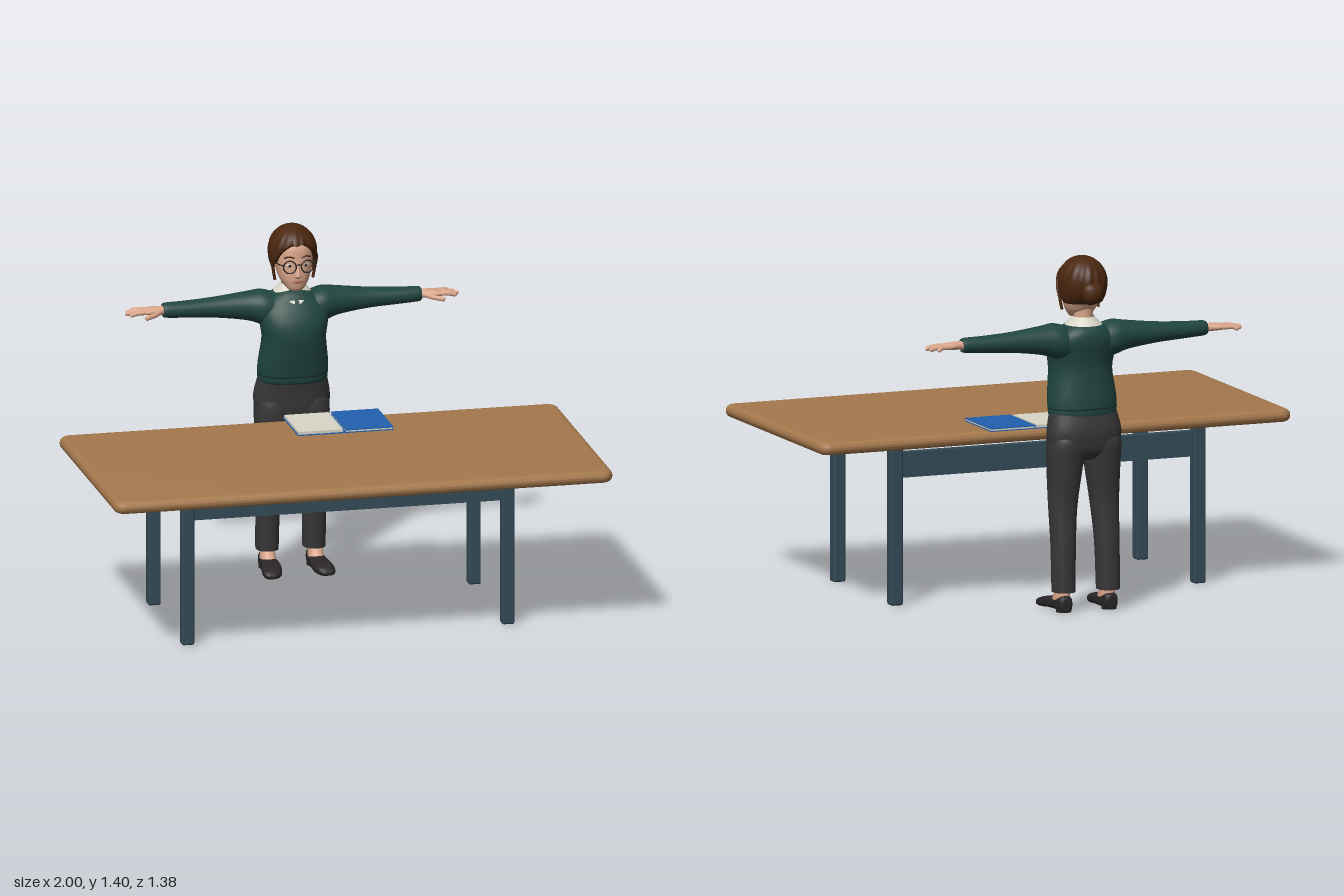
import * as THREE from 'three';
import { toCreasedNormals } from 'three/addons/utils/BufferGeometryUtils.js';
import { RoundedBoxGeometry } from 'three/addons/geometries/RoundedBoxGeometry.js';

const mat = (name, color, side = THREE.FrontSide) =>
  Object.assign(new THREE.MeshStandardMaterial({ color, side }), { name });

// Cross-sections [t, aMin, aMax, bMin, bMax] along an axis, smoothed, with rounded-box outline.
// Axes: y -> a = x, b = z;  x -> a = z, b = y;  z -> a = y, b = x.
function loft(axis, rows, power = 2.3, sides = 28, sub = 4) {
  const pos = [], idx = [], count = (rows.length - 1) * sub + 1;
  const put = (t, a, b) => pos.push(...(axis === 'y' ? [a, t, b] : axis === 'x' ? [t, b, a] : [b, a, t]));
  const bend = c => Math.sign(c) * Math.abs(c) ** (2 / power);
  const at = (s, k) => {
    const i = Math.min(Math.floor(s), rows.length - 2), f = s - i;
    const v = j => rows[Math.max(0, Math.min(rows.length - 1, j))][k];
    const p0 = v(i - 1), p1 = v(i), p2 = v(i + 1), p3 = v(i + 2);
    return p1 + 0.5 * f * (p2 - p0 + f * (2 * p0 - 5 * p1 + 4 * p2 - p3 + f * (3 * (p1 - p2) + p3 - p0)));
  };
  for (let i = 0; i < count; i++) {
    const [t, a0, a1, b0, b1] = [0, 1, 2, 3, 4].map(k => at(i / sub, k));
    for (let j = 0; j < sides; j++) {
      const th = j / sides * Math.PI * 2;
      put(t, (a0 + a1) / 2 + (a1 - a0) / 2 * bend(Math.cos(th)), (b0 + b1) / 2 + (b1 - b0) / 2 * bend(Math.sin(th)));
      const n = i * sides + (j + 1) % sides, c = i * sides + j;
      if (i < count - 1) idx.push(c, c + sides, n, n, c + sides, n + sides);
    }
  }
  const first = rows[0], last = rows[rows.length - 1], base = count * sides, top = base - sides;
  for (const r of [first, last]) put(r[0], (r[1] + r[2]) / 2, (r[3] + r[4]) / 2);
  for (let j = 0; j < sides; j++) {
    const n = (j + 1) % sides;
    idx.push(base, j, n, base + 1, top + n, top + j);
  }
  return build(pos, idx);
}

function build(pos, idx) {
  const g = new THREE.BufferGeometry();
  g.setAttribute('position', new THREE.Float32BufferAttribute(pos, 3));
  g.setIndex(idx);
  g.computeVertexNormals();
  return g;
}

// Grid surface from a rule f(u, v) -> [x, y, z]
function sheet(f, nu, nv) {
  const pos = [], idx = [];
  for (let i = 0; i <= nu; i++) for (let j = 0; j <= nv; j++) {
    pos.push(...f(i / nu, j / nv));
    const c = i * (nv + 1) + j;
    if (i < nu && j < nv) idx.push(c, c + 1, c + nv + 1, c + 1, c + nv + 2, c + nv + 1);
  }
  return build(pos, idx);
}

function mirrored(g) {
  const m = g.clone().scale(-1, 1, 1), a = m.index.array;
  for (let i = 0; i < a.length; i += 3) [a[i], a[i + 1]] = [a[i + 1], a[i]];
  return m;
}

const tube = (pts, r, seg = 14) =>
  new THREE.TubeGeometry(new THREE.CatmullRomCurve3(pts.map(p => new THREE.Vector3(...p))), seg, r, 8);
const ball = (x, y, z, rx, ry = rx, rz = rx) =>
  new THREE.SphereGeometry(1, 24, 16).scale(rx, ry, rz).translate(x, y, z);

export function createModel() {
  const wood = mat('wood', 0xa4784c), steel = mat('steel', 0x344b57), sweater = mat('sweater green', 0x20453f);
  const cloth = mat('charcoal cloth', 0x383737), skin = mat('skin', 0xdba78b);
  const hair = mat('brown hair', 0x4a270f, THREE.DoubleSide), cream = mat('cream', 0xd9d5c8, THREE.DoubleSide);
  const blue = mat('blue cover', 0x2060ae), dark = mat('dark leather', 0x2a2627), lip = mat('lip', 0xb06a5e);

  const model = new THREE.Group();
  const group = name => { const g = new THREE.Group(); g.name = name; model.add(g); return g; };
  const add = (parent, name, geo, material) => {
    const m = new THREE.Mesh(geo, material);
    m.name = name;
    parent.add(m);
  };
  const pair = (parent, name, geo, material) => {
    add(parent, name + 'Left', geo, material);
    add(parent, name + 'Right', mirrored(geo), material);
  };
  const box = (parent, name, x0, x1, y0, y1, z0, z1, material) => add(parent, name,
    new THREE.BoxGeometry(x1 - x0, y1 - y0, z1 - z0).translate((x0 + x1) / 2, (y0 + y1) / 2, (z0 + z1) / 2), material);

  // Table: bullnosed top, four legs, two long rails
  const table = group('table');
  const w = 0.975, d = 0.475, r = 0.02, s = new THREE.Shape();
  s.absarc(w - r, d - r, r, 0, Math.PI / 2);
  s.absarc(-w + r, d - r, r, Math.PI / 2, Math.PI);
  s.absarc(-w + r, -d + r, r, Math.PI, Math.PI * 1.5);
  s.absarc(w - r, -d + r, r, Math.PI * 1.5, Math.PI * 2);
  const top = new THREE.ExtrudeGeometry(s, { depth: 0.004, bevelSize: 0.025, bevelThickness: 0.023, bevelSegments: 6, curveSegments: 6 });
  top.rotateX(-Math.PI / 2).translate(0, 0.653, 0.19);
  add(table, 'tableTop', toCreasedNormals(top, 0.6), wood);
  for (const z of [0.38, -0.195]) {
    for (const x of [-0.642, 0.642])
      add(table, 'tableLeg', new RoundedBoxGeometry(0.05, 0.635, 0.05, 2, 0.008).translate(x, 0.3175, z), steel);
    box(table, 'rail', -0.62, 0.62, 0.505, 0.605, z - 0.018, z + 0.018, steel);
  }

  // Open book
  const book = group('book');
  box(book, 'bottomCover', -0.092, 0.29, 0.682, 0.685, -0.325, -0.065, blue);
  box(book, 'leftPages', -0.088, 0.09, 0.685, 0.696, -0.32, -0.072, cream);
  box(book, 'rightPages', 0.103, 0.286, 0.685, 0.692, -0.32, -0.07, cream);
  box(book, 'rightCover', 0.1, 0.29, 0.692, 0.696, -0.325, -0.065, blue);

  // Sweater body, hem and sleeves
  const body = group('body');
  add(body, 'sweaterBody', loft('y', [
    [0.80, -0.139, 0.139, -0.648, -0.457], [0.85, -0.138, 0.138, -0.645, -0.447], [0.95, -0.126, 0.126, -0.635, -0.428],
    [1.01, -0.134, 0.134, -0.64, -0.43], [1.06, -0.138, 0.138, -0.65, -0.45], [1.095, -0.118, 0.118, -0.65, -0.472],
    [1.12, -0.09, 0.09, -0.638, -0.487], [1.135, -0.066, 0.066, -0.62, -0.5], [1.148, -0.05, 0.05, -0.605, -0.52]]), sweater);
  add(body, 'sweaterHem', loft('y', [[0.772, -0.132, 0.132, -0.642, -0.468], [0.782, -0.138, 0.138, -0.645, -0.463],
    [0.806, -0.138, 0.138, -0.645, -0.46], [0.814, -0.134, 0.134, -0.64, -0.465]]), sweater);
  pair(body, 'sleeve', loft('x', [
    [0.06, -0.63, -0.49, 0.99, 1.122], [0.12, -0.638, -0.487, 1.0, 1.14], [0.18, -0.628, -0.507, 1.02, 1.134],
    [0.3, -0.615, -0.525, 1.037, 1.12], [0.42, -0.607, -0.53, 1.045, 1.112], [0.5, -0.6, -0.535, 1.05, 1.11],
    [0.517, -0.596, -0.54, 1.054, 1.106]], 2.1), sweater);

  // Hands
  pair(body, 'palm', loft('x', [[0.505, -0.588, -0.548, 1.062, 1.098], [0.53, -0.592, -0.54, 1.065, 1.097],
    [0.565, -0.604, -0.532, 1.068, 1.095], [0.59, -0.604, -0.532, 1.071, 1.091], [0.6, -0.595, -0.54, 1.076, 1.087]]), skin);
  [[-0.597, -0.612, 0.638], [-0.579, -0.587, 0.66], [-0.56, -0.562, 0.668], [-0.541, -0.538, 0.655]].forEach(([z0, z1, end]) => {
    pair(body, 'finger', tube([[0.575, 1.081, z0], [0.62, 1.081, (z0 + z1) / 2], [end - 0.008, 1.076, z1]], 0.0085), skin);
    pair(body, 'fingertip', ball(end - 0.008, 1.076, z1, 0.0085), skin);
  });
  pair(body, 'thumb', tube([[0.525, 1.08, -0.553], [0.56, 1.074, -0.522], [0.592, 1.07, -0.506]], 0.01), skin);
  pair(body, 'thumbTip', ball(0.592, 1.07, -0.506, 0.01), skin);

  // Trousers
  add(body, 'trouserHips', loft('y', [
    [0.6, -0.1, 0.1, -0.62, -0.52], [0.63, -0.137, 0.137, -0.645, -0.49], [0.67, -0.149, 0.149, -0.655, -0.483],
    [0.72, -0.15, 0.15, -0.657, -0.481], [0.79, -0.135, 0.135, -0.64, -0.475]], 2.4), cloth);
  pair(body, 'trouserLeg', loft('y', [
    [0.08, 0.05, 0.138, -0.638, -0.538], [0.1, 0.049, 0.139, -0.638, -0.537], [0.27, 0.045, 0.14, -0.635, -0.526],
    [0.42, 0.033, 0.143, -0.627, -0.505], [0.57, 0.012, 0.147, -0.642, -0.487], [0.66, 0.002, 0.149, -0.652, -0.484],
    [0.7, 0.01, 0.14, -0.64, -0.49]], 2.3), cloth);

  // Feet and shoes
  pair(body, 'ankle', loft('y', [[0.03, 0.064, 0.126, -0.615, -0.5], [0.055, 0.066, 0.126, -0.615, -0.525],
    [0.1, 0.068, 0.122, -0.612, -0.553]]), skin);
  pair(body, 'shoe', loft('z', [
    [-0.627, 0.004, 0.052, 0.078, 0.112], [-0.612, 0, 0.066, 0.067, 0.125], [-0.56, 0.004, 0.056, 0.063, 0.129],
    [-0.5, 0.004, 0.05, 0.06, 0.138], [-0.455, 0, 0.042, 0.064, 0.144], [-0.425, 0, 0.032, 0.076, 0.142],
    [-0.408, 0.005, 0.018, 0.095, 0.128]], 2.8), dark);
  pair(body, 'heel', new THREE.CylinderGeometry(0.03, 0.03, 0.014, 20).translate(0.096, 0.007, -0.594), dark);

  // Neck and shirt collar
  add(body, 'neck', loft('y', [[1.09, -0.045, 0.045, -0.61, -0.52], [1.14, -0.038, 0.038, -0.602, -0.526],
    [1.21, -0.038, 0.038, -0.604, -0.526]], 2), skin);
  add(body, 'shirtCollar', sheet((u, v) => {
    const phi = 0.12 + v * (Math.PI * 2 - 0.24), c = Math.cos(phi), x = Math.sin(phi), f = Math.max(0, c) ** 4;
    const rx = 0.043 + u * 0.031, rz = 0.047 + u * (0.03 + 0.02 * f);
    return [x * rx, 1.163 - 0.02 * f - u * (0.032 + 0.014 * f), -0.564 + c * rz];
  }, 4, 48), cream);

  // Head and face
  const head = group('head');
  add(head, 'face', loft('y', [
    [1.148, -0.016, 0.016, -0.515, -0.482], [1.157, -0.033, 0.033, -0.545, -0.468], [1.18, -0.051, 0.051, -0.59, -0.461],
    [1.205, -0.062, 0.062, -0.61, -0.457], [1.24, -0.071, 0.071, -0.63, -0.457], [1.28, -0.075, 0.075, -0.64, -0.458],
    [1.33, -0.073, 0.073, -0.635, -0.464], [1.37, -0.048, 0.048, -0.61, -0.495], [1.385, -0.02, 0.02, -0.58, -0.53]]), skin);
  add(head, 'nose', loft('y', [[1.206, -0.006, 0.006, -0.47, -0.452], [1.214, -0.014, 0.014, -0.475, -0.441],
    [1.225, -0.011, 0.011, -0.475, -0.442], [1.25, -0.007, 0.007, -0.475, -0.451], [1.275, -0.006, 0.006, -0.475, -0.457]]), skin);
  add(head, 'lips', ball(0, 1.192, -0.459, 0.021, 0.006, 0.006), lip);
  pair(head, 'ear', ball(0.075, 1.25, -0.56, 0.009, 0.022, 0.014), skin);
  pair(head, 'eye', ball(0.032, 1.258, -0.465, 0.014, 0.0065, 0.006), cream);
  pair(head, 'iris', ball(0.032, 1.258, -0.46, 0.006, 0.006, 0.003), dark);
  pair(head, 'eyebrow', tube([[0.015, 1.289, -0.457], [0.033, 1.295, -0.459], [0.052, 1.288, -0.471]], 0.003), hair);

  // Glasses
  const glasses = group('glasses');
  pair(glasses, 'rim', new THREE.TorusGeometry(0.025, 0.0028, 8, 32).rotateY(0.15).translate(0.035, 1.256, -0.448), dark);
  add(glasses, 'bridge', tube([[-0.011, 1.262, -0.445], [0, 1.266, -0.443], [0.011, 1.262, -0.445]], 0.0026), dark);
  pair(glasses, 'temple', tube([[0.06, 1.262, -0.451], [0.076, 1.264, -0.48], [0.079, 1.263, -0.555]], 0.0026), dark);

  // Hair: swept shell that ends at the hairline, bun and loose locks
  const hairdo = group('hair');
  add(hairdo, 'hairShell', sheet((v, u) => {
    const phi = (u - 0.5) * Math.PI * 2, away = Math.abs(phi);
    const rise = THREE.MathUtils.smoothstep(away, 0.5, 1.6);
    const th = v * (1.2 - 0.1 * Math.exp(-(((phi - 0.3) / 0.18) ** 2)) + 1.35 * rise);
    const pow = th < Math.PI / 2 ? 1 : THREE.MathUtils.lerp(0.35, 0.75, THREE.MathUtils.smoothstep(away, 1.5, 2.8));
    const ring = Math.max(0, Math.sin(th)) ** pow * (1 + 0.018 * Math.sin(phi * 16 + th * 3) * Math.sin(th));
    return [Math.sin(phi) * 0.094 * ring, 1.3 + 0.1 * Math.cos(th), -0.556 + Math.cos(phi) * 0.112 * ring];
  }, 28, 128), hair);
  const bun = ball(0, 0, 0, 0.045, 0.046, 0.036), p = bun.attributes.position;
  for (let i = 0; i < p.count; i++) {
    const k = 1 + 0.05 * Math.sin(4 * Math.atan2(p.getY(i), p.getX(i)) + p.getZ(i) * 90);
    p.setXY(i, p.getX(i) * k, p.getY(i) * k);
  }
  bun.computeVertexNormals();
  add(hairdo, 'bun', bun.translate(0, 1.266, -0.658), hair);
  pair(hairdo, 'sideLock', tube([[0.07, 1.325, -0.49], [0.085, 1.28, -0.505], [0.084, 1.235, -0.525], [0.076, 1.187, -0.53]], 0.006), hair);
  pair(hairdo, 'sweptFringe', tube([[0.02, 1.352, -0.455], [0.052, 1.33, -0.465], [0.072, 1.3, -0.487], [0.08, 1.262, -0.515]], 0.01), hair);

  return model;
}
